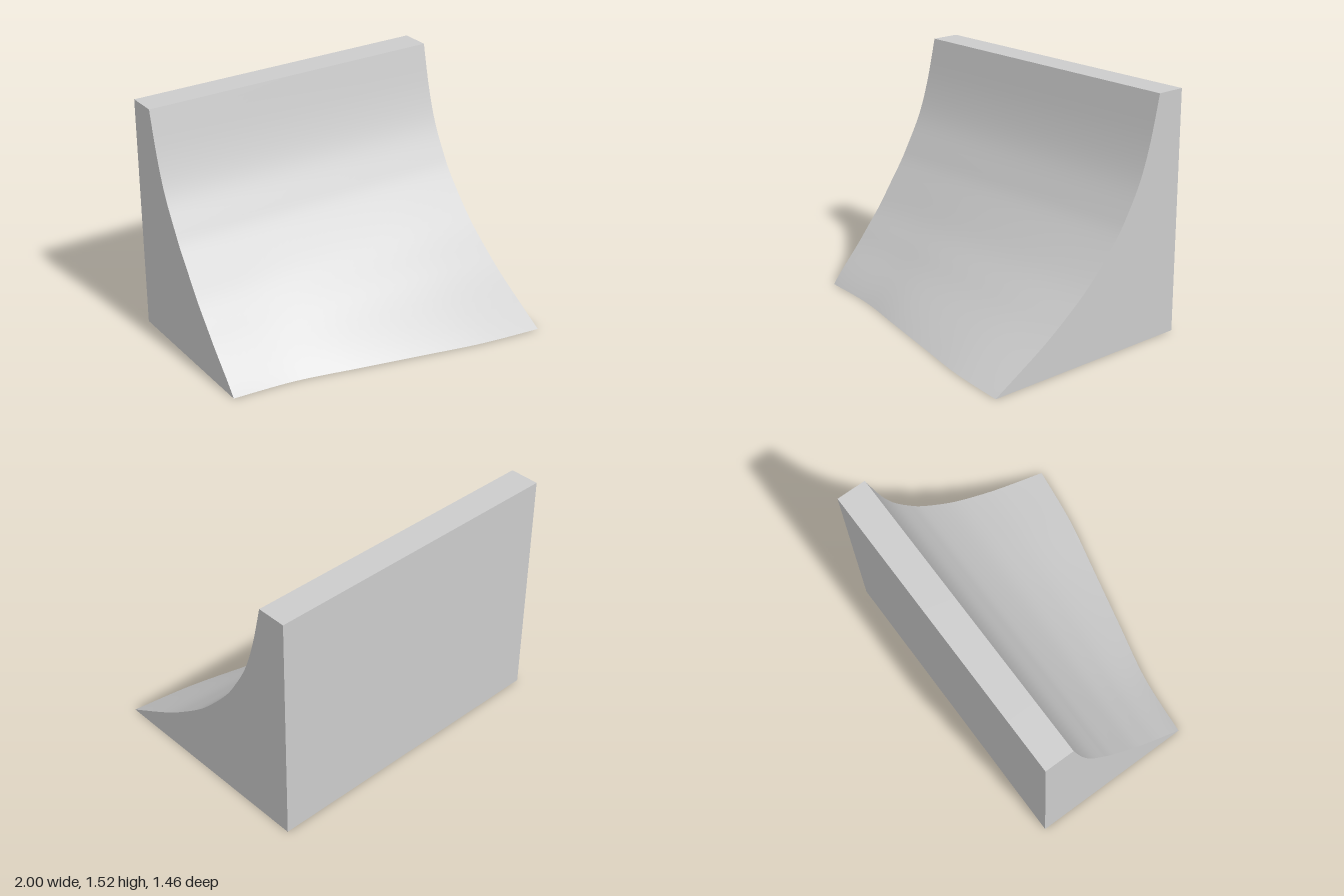
import * as THREE from 'three';

const BACK = -0.73, TOP = 1.525;
const SEG_X = 40, SEG_Y = 40;

// Curved slope on the right end, as (z, y) from the toe to the crest
const slope = new THREE.SplineCurve([
  [0.73, 0], [0.4, 0.19], [0.2, 0.325], [0, 0.485], [-0.2, 0.7],
  [-0.3, 0.845], [-0.4, 1.03], [-0.475, 1.25], [-0.54, TOP],
].map(([z, y]) => new THREE.Vector2(z, y)));

// Share of the toe flare across the width, as (x, share)
const flare = new THREE.SplineCurve([
  [-1, 0], [-0.6, 0.11], [-0.2, 0.355], [0.2, 0.605], [0.6, 0.85], [1, 1],
].map(([x, s]) => new THREE.Vector2(x, s)));

// Point on the curved front: u runs left to right, v from toe to crest
function frontPoint(u, v) {
  const f = flare.getPoint(u), s = slope.getPoint(v);
  const fade = Math.pow(Math.max(0, 1 - s.y / 0.95), 2.5);
  return [f.x, s.y, s.x - (1 - f.y) * 0.383 * fade];
}

export function createModel() {
  const group = new THREE.Group();
  group.name = 'curvedRamp';
  const grey = new THREE.MeshStandardMaterial({ color: 0xcccccc });
  grey.name = 'light grey';

  // One face of the block: a grid whose vertices follow point(u, v)
  function addFace(name, segU, segV, point) {
    const geo = new THREE.PlaneGeometry(1, 1, segU, segV);
    const { position, uv } = geo.attributes;
    for (let i = 0; i < position.count; i++) {
      position.setXYZ(i, ...point(uv.getX(i), uv.getY(i)));
    }
    geo.computeVertexNormals();
    const mesh = new THREE.Mesh(geo, grey);
    mesh.name = name;
    group.add(mesh);
  }

  // Blend from the back wall (t = 0) to a point on the curved front (t = 1)
  const inward = ([x, y, z], t) => [x, y, THREE.MathUtils.lerp(BACK, z, t)];

  addFace('curvedFront', SEG_X, SEG_Y, frontPoint);
  addFace('backWall', 1, 1, (u, v) => [1 - 2 * u, v * TOP, BACK]);
  addFace('rightEnd', 1, SEG_Y, (u, v) => inward(frontPoint(1, v), 1 - u));
  addFace('leftEnd', 1, SEG_Y, (u, v) => inward(frontPoint(0, v), u));
  addFace('topLedge', SEG_X, 1, (u, v) => inward(frontPoint(u, 1), 1 - v));
  addFace('base', SEG_X, 1, (u, v) => inward(frontPoint(u, 0), v));

  return group;
}
